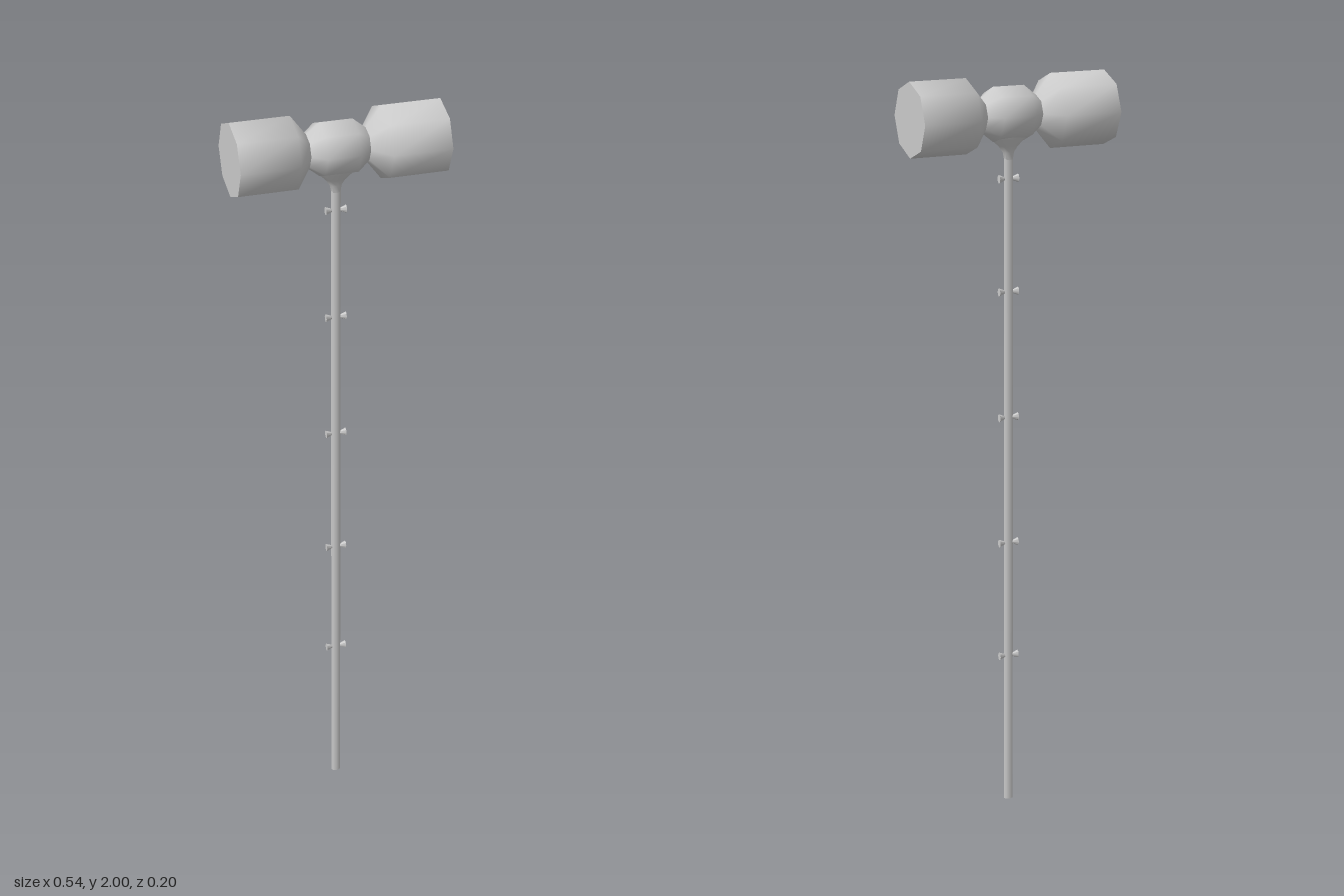
import * as THREE from 'three';
import { toCreasedNormals } from 'three/addons/utils/BufferGeometryUtils.js';

const HEAD_Y = 1.904;
const SIDES = 8;

export function createModel() {
  const model = new THREE.Group();
  const material = new THREE.MeshStandardMaterial({ color: 0xcccccc });

  const add = (name, geometry, parent = model) => {
    const mesh = new THREE.Mesh(geometry, material);
    mesh.name = name;
    parent.add(mesh);
    return mesh;
  };
  const lathe = (points) => toCreasedNormals(
    new THREE.LatheGeometry(points.map(([r, y]) => new THREE.Vector2(r, y)), SIDES), 1.2);

  // Double-ended hammer head: half profile [radius, distance along x], mirrored
  const half = [[0.073, 0.043], [0.045, 0.077], [0.1, 0.118], [0.1, 0.272], [0, 0.272]];
  const profile = [...half.map(([r, d]) => [r, -d]).reverse(), ...half];
  const head = add('hammerHead', lathe(profile).rotateZ(Math.PI / 2));
  head.scale.y = 0.965;
  head.position.y = HEAD_Y;

  // Flared socket joining the head to the handle, narrower front to back
  const socket = add('socket', lathe([
    [0.012, 1.785], [0.016, 1.805], [0.028, 1.822], [0.05, 1.842], [0.062, 1.86], [0, 1.875],
  ]));
  socket.scale.z = 0.7;

  // Long handle with an oval section
  const handle = add('handle', new THREE.CylinderGeometry(0.013, 0.013, 1.82, SIDES));
  handle.scale.z = 0.65;
  handle.position.y = 0.91;

  // Pairs of small flared studs along the handle
  const studGeometry = toCreasedNormals(
    new THREE.CylinderGeometry(0.011, 0.004, 0.017, SIDES), 1.2).rotateZ(-Math.PI / 2);
  for (const y of [0.425, 0.75, 1.1, 1.44, 1.737]) {
    const pair = new THREE.Group();
    pair.name = 'studPair';
    pair.position.y = y;
    for (const side of [1, -1]) {
      const stud = add(side > 0 ? 'leftStud' : 'rightStud', studGeometry, pair);
      stud.position.x = side * 0.0185;
      stud.rotation.y = side > 0 ? 0 : Math.PI;
      stud.scale.z = 0.8;
    }
    model.add(pair);
  }
  return model;
}
